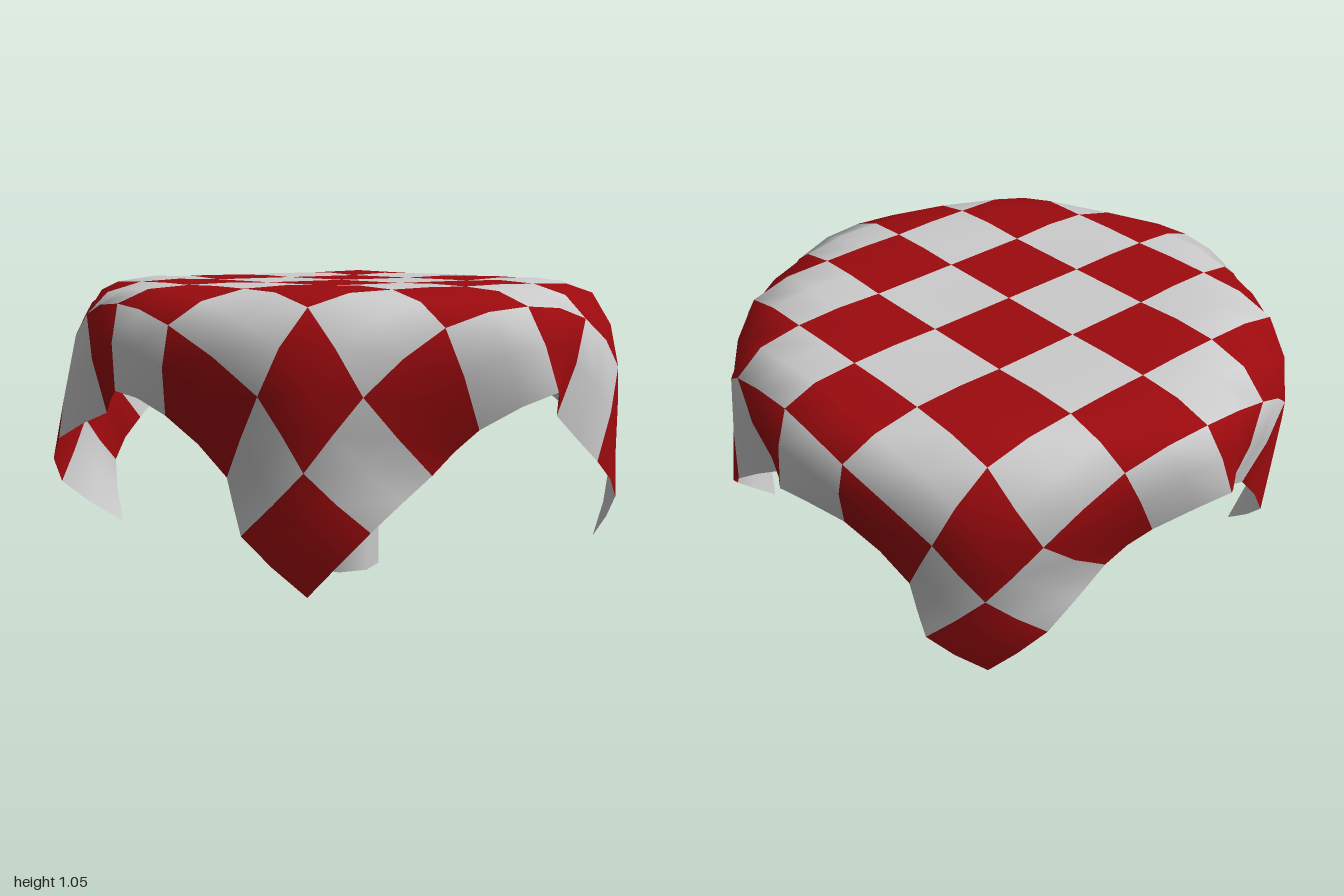
import * as THREE from 'three';

const HALF = 4;      // checks from the cloth centre to its edge
const SUB = 2;       // mesh steps per check
const TOP = 1.04;    // height of the flat top

// Check corners of the hanging part of one quarter, [x, y, z] keyed by "i,j".
const FRONT = {
  '0,3': [-0.66, 0.99, 0.60], '0,4': [-0.65, 0.73, 0.70],
  '1,3': [-0.46, 0.94, 0.80], '1,4': [-0.49, 0.66, 0.73],
  '2,2': [-0.04, 1.00, 0.89], '2,3': [-0.18, 0.75, 0.94], '2,4': [-0.29, 0.49, 0.82],
  '3,1': [0.35, 0.94, 0.85], '3,2': [0.12, 0.75, 0.94],
  '3,3': [-0.05, 0.53, 0.94], '3,4': [-0.24, 0.33, 0.89],
  '4,1': [0.46, 0.62, 0.70], '4,2': [0.32, 0.48, 0.71],
  '4,3': [0.14, 0.34, 0.87], '4,4': [-0.05, 0.13, 0.84],
};

// The other flaps fold a little differently, each given as if it hung in front.
const BACK = {
  ...FRONT,
  '0,4': [-0.69, 0.74, 0.67], '1,3': [-0.46, 0.95, 0.82],
  '2,3': [-0.20, 0.76, 0.95], '3,1': [0.35, 0.94, 0.83],
};
const RIGHT = {
  ...FRONT,
  '1,4': [-0.53, 0.64, 0.71], '2,2': [-0.04, 1.00, 0.88],
  '2,3': [-0.21, 0.76, 0.95], '2,4': [-0.35, 0.46, 0.87],
  '3,1': [0.36, 0.94, 0.86], '3,2': [0.14, 0.76, 0.95],
  '3,3': [-0.05, 0.52, 0.97], '3,4': [-0.25, 0.32, 0.95],
  '4,1': [0.43, 0.62, 0.75], '4,2': [0.27, 0.46, 0.94],
  '4,3': [0.13, 0.33, 0.99], '4,4': [-0.05, 0.13, 0.91],
};
const LEFT = {
  ...RIGHT,
  '2,3': [-0.18, 0.75, 0.94], '2,4': [-0.29, 0.49, 0.81],
  '3,1': [0.38, 0.94, 0.82], '3,3': [-0.05, 0.52, 0.96], '3,4': [-0.24, 0.33, 0.90],
  '4,2': [0.25, 0.50, 0.97], '4,3': [0.17, 0.33, 0.99], '4,4': [-0.05, 0.13, 0.83],
};
const FLAPS = [FRONT, RIGHT, BACK, LEFT];

// Position of a check corner; each quarter is the front one turned about y.
function corner(i, j, turn = 0) {
  if (i === 0 && j === 0) return new THREE.Vector3(0, TOP, 0);
  if (i >= 0 && j >= 1) {
    const p = FLAPS[turn][`${i},${j}`];
    if (p) return new THREE.Vector3(...p);
    return new THREE.Vector3(0.215 * i - 0.235 * j, TOP, 0.235 * i + 0.21 * j);
  }
  const p = corner(0 - j, i, turn + 1);
  return new THREE.Vector3(p.z, p.y, -p.x);
}

// Smooth curve through points, sampled evenly per check.
function smooth(points) {
  return new THREE.CatmullRomCurve3(points, false, 'catmullrom', 0.5).getPoints(HALF * 2 * SUB);
}

function createCloth() {
  const steps = [];
  for (let k = -HALF; k <= HALF; k++) steps.push(k);

  // Smooth along one direction of the weave, then across it
  const rows = steps.map(i => smooth(steps.map(j => corner(i, j))));
  const columns = rows[0].map((_, j) => smooth(rows.map(row => row[j])));

  const n = HALF * 2 * SUB;
  const positions = [];
  for (let i = 0; i <= n; i++) {
    for (let j = 0; j <= n; j++) positions.push(...columns[j][i].toArray());
  }

  // Sort the faces into the two check colours
  const faces = [[], []];
  for (let i = 0; i < n; i++) {
    for (let j = 0; j < n; j++) {
      const colour = (Math.floor(i / SUB) + Math.floor(j / SUB)) % 2;
      const a = i * (n + 1) + j, b = a + 1, c = a + n + 1, d = c + 1;
      faces[colour].push(a, b, c, b, d, c);
    }
  }

  // Both colours share one set of vertices and normals, so shading runs across
  const whole = new THREE.BufferGeometry();
  whole.setAttribute('position', new THREE.Float32BufferAttribute(positions, 3));
  whole.setIndex([...faces[0], ...faces[1]]);
  whole.computeVertexNormals();

  const cloth = new THREE.Group();
  cloth.name = 'tablecloth';
  [['redChecks', 0x9c0a0e], ['greyChecks', 0xcccccc]].forEach(([name, color], k) => {
    const geometry = new THREE.BufferGeometry();
    geometry.setAttribute('position', whole.attributes.position);
    geometry.setAttribute('normal', whole.attributes.normal);
    geometry.setIndex(faces[k]);
    const mesh = new THREE.Mesh(geometry,
      new THREE.MeshStandardMaterial({ color, side: THREE.DoubleSide }));
    mesh.name = name;
    cloth.add(mesh);
  });
  return cloth;
}

export function createModel() {
  const model = new THREE.Group();
  model.name = 'coveredTable';
  model.add(createCloth());

  // Central leg
  const leg = new THREE.Mesh(new THREE.CylinderGeometry(0.137, 0.137, 0.89, 8),
    new THREE.MeshStandardMaterial({ color: 0xcccccc }));
  leg.name = 'tableLeg';
  leg.position.y = 0.445;
  model.add(leg);
  return model;
}
